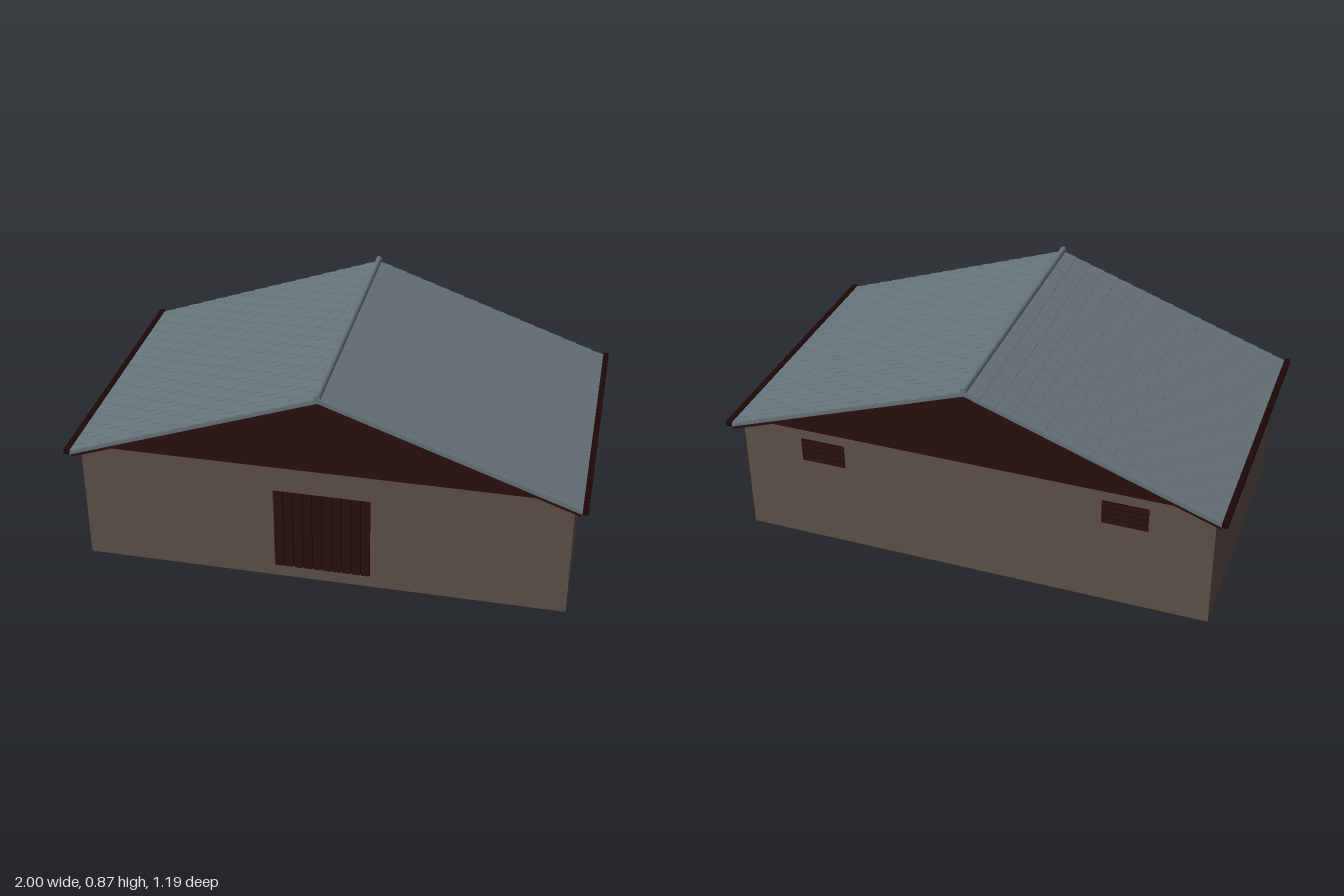
import * as THREE from 'three';
import { mergeGeometries } from 'three/addons/utils/BufferGeometryUtils.js';

const mat = (name, color) => {
  const m = new THREE.MeshStandardMaterial({ color });
  m.name = name;
  return m;
};

export function createModel() {
  const wall = mat('wall brown', 0x5e5148);
  const roof = mat('slate grey', 0x667479);
  const maroon = mat('dark maroon', 0x2a0f0e);
  const trim = mat('gutter maroon', 0x1c0706);

  const model = new THREE.Group();
  model.name = 'barn';

  const mesh = (name, geo, material, parent = model) => {
    const m = new THREE.Mesh(geo, material);
    m.name = name;
    parent.add(m);
    return m;
  };
  // Box given by its min and max on each axis
  const span = (x0, x1, y0, y1, z0, z1) =>
    new THREE.BoxGeometry(x1 - x0, y1 - y0, z1 - z0)
      .translate((x0 + x1) / 2, (y0 + y1) / 2, (z0 + z1) / 2);

  const W = 0.95, D = 0.545, PLINTH = 0.045, EAVE = 0.505, IN = 0.525;
  const SLOPE = 0.355, RIDGE = 0.855;

  // Body: plinth, inner core, flush wall panels around it
  mesh('plinth', span(-W, W, 0, PLINTH, -D, D), wall);
  mesh('wallCore', span(-W + 0.02, W - 0.02, PLINTH, 0.485, -IN, IN), wall);
  const frontWall = [[-W, -0.19], [0.19, W]];
  const backWall = [[-W, -0.695], [-0.695, -0.527], [-0.527, 0.527], [0.527, 0.695], [0.695, W]];
  frontWall.forEach(([a, b]) => mesh('frontWall', span(a, b, PLINTH, EAVE, IN, D), wall));
  mesh('doorLintel', span(-0.19, 0.19, 0.4, EAVE, IN, D), wall);
  backWall.forEach(([a, b]) => mesh('backWall', span(a, b, PLINTH, EAVE, -D, -IN), wall));
  for (const s of [-1, 1]) {
    const x0 = s > 0 ? W - 0.02 : -W, x1 = x0 + 0.02;
    [[-IN, -0.49], [-0.49, 0.49], [0.49, IN]].forEach(([a, b]) =>
      mesh('sideWall', span(x0, x1, PLINTH, 0.49, a, b), wall));
  }

  // Plank door
  mesh('doorBacking', span(-0.19, 0.19, PLINTH, 0.4, IN, 0.534), trim);
  const planks = [];
  for (let i = 0; i < 10; i++) {
    const x = -0.19 + i * 0.038;
    planks.push(span(x + 0.002, x + 0.036, PLINTH, 0.4, 0.534, 0.542));
  }
  mesh('doorPlanks', mergeGeometries(planks), maroon);

  // Gables at both ends
  const under = (x) => RIDGE - 0.024 - SLOPE * x;
  const gable = new THREE.Shape([
    new THREE.Vector2(-0.915, EAVE), new THREE.Vector2(0.915, EAVE), new THREE.Vector2(0, under(0)),
  ]);
  mesh('gables', new THREE.ExtrudeGeometry(gable, { depth: 2 * D, bevelEnabled: false })
    .translate(0, 0, -D), maroon);

  // Louvred vents on the back
  for (const s of [-1, 1]) {
    const vent = new THREE.Group();
    vent.name = 'vent';
    vent.position.set(s * 0.611, 0.415, -D);
    model.add(vent);
    mesh('ventPlate', span(-0.09, 0.09, -0.05, 0.05, -0.003, 0.005), trim, vent);
    const slats = [];
    for (let i = 0; i < 4; i++) {
      slats.push(new THREE.BoxGeometry(0.18, 0.02, 0.003).rotateX(0.12)
        .translate(0, -0.0375 + i * 0.025, -0.004));
    }
    mesh('ventSlats', mergeGeometries(slats), maroon, vent);
  }

  // Two roof slopes; the second is the first turned about the vertical axis
  const angle = Math.atan(SLOPE), LEN = 0.985 / Math.cos(angle);
  const ROWS = 16, COLS = 15, RZ = 0.592, step = LEN / ROWS, tile = (2 * RZ) / COLS;
  const shingles = [];
  for (let r = 0; r < ROWS; r++) {
    const offset = r % 2 ? tile / 2 : 0;
    for (let c = 0; c <= COLS; c++) {
      const z0 = Math.max(-RZ, -RZ + c * tile - offset);
      const z1 = Math.min(RZ, -RZ + (c + 1) * tile - offset);
      if (z1 - z0 < 0.01) continue;
      shingles.push(new THREE.BoxGeometry(step, 0.005, z1 - z0 - 0.004).rotateZ(0.05)
        .translate((r + 0.5) * step, -0.005, (z0 + z1) / 2));
    }
  }
  const shingleGeo = mergeGeometries(shingles);
  for (const turn of [0, Math.PI]) {
    const side = new THREE.Group();
    side.name = 'roofSide';
    side.rotation.y = turn;
    model.add(side);
    const slope = new THREE.Group();
    slope.name = 'roofSlope';
    slope.position.y = RIDGE;
    slope.rotation.z = -angle;
    side.add(slope);
    mesh('shingles', shingleGeo, roof, slope);
    mesh('roofUnderlay', span(0, LEN, -0.019, -0.006, -RZ, RZ), roof, slope);
    mesh('roofDeck', span(0, LEN, -0.032, -0.019, -0.588, 0.588), maroon, slope);
    mesh('gutter', span(0.978, 1, 0.491, 0.511, -0.597, 0.597), trim, side);
  }

  // Ridge cap
  mesh('ridgeCap', new THREE.CylinderGeometry(0.013, 0.013, 1.194, 12)
    .rotateX(Math.PI / 2).translate(0, 0.857, 0), roof);

  return model;
}
